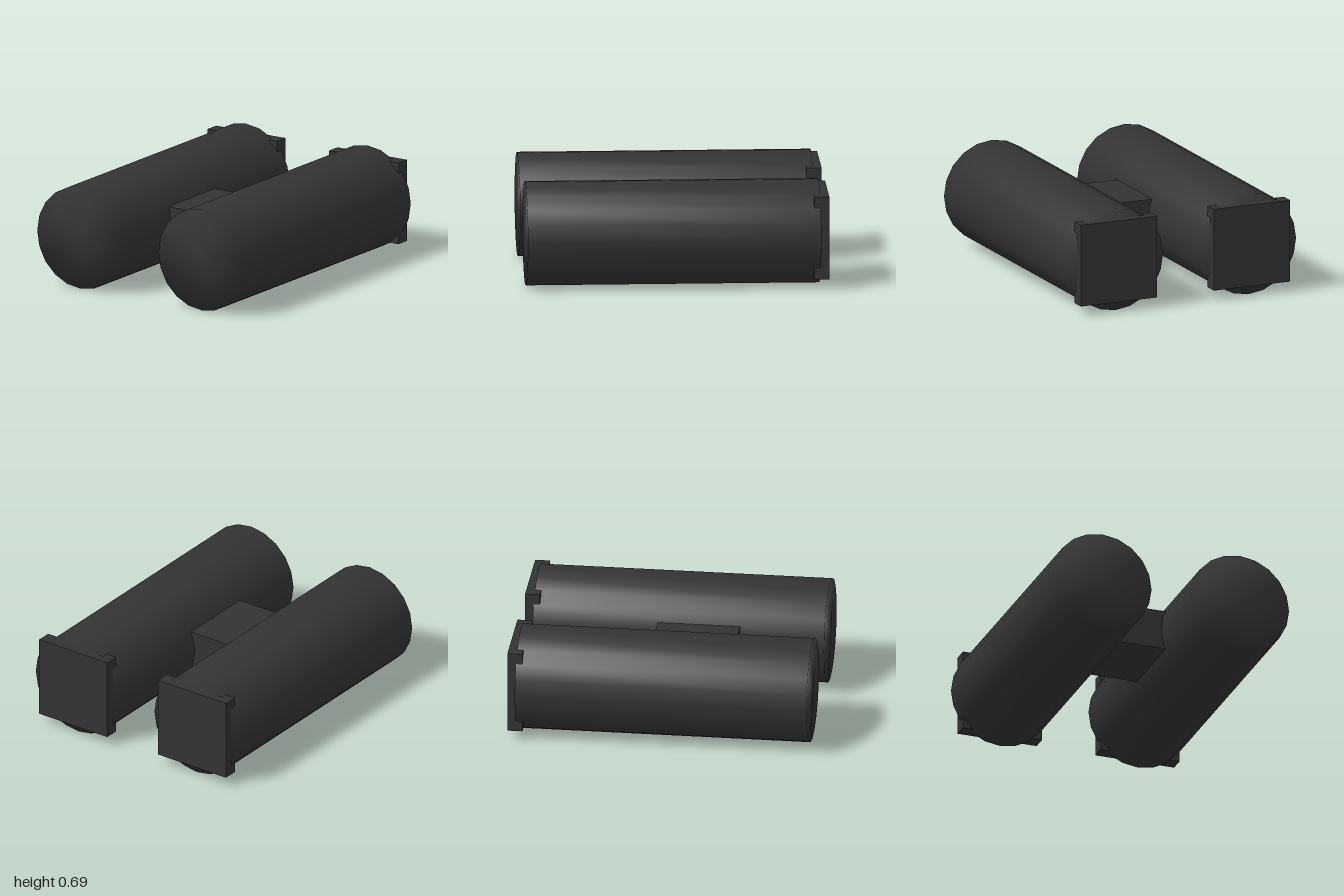
import * as THREE from 'three';
import { mergeVertices } from 'three/addons/utils/BufferGeometryUtils.js';

const RADIUS = 0.347;
const TUBE_X = 0.485;

// Closed 20-sided tube along z whose shading rolls softly over the rims
function softTube(radius, length) {
  const source = new THREE.CylinderGeometry(radius, radius, length, 20);
  source.rotateX(Math.PI / 2);
  source.deleteAttribute('uv');
  source.deleteAttribute('normal');
  const geometry = mergeVertices(source, 1e-4);
  geometry.computeVertexNormals();
  return geometry;
}

export function createModel() {
  const model = new THREE.Group();
  model.name = 'twinTubes';

  const charcoal = new THREE.MeshStandardMaterial({ color: 0x333333 });
  charcoal.name = 'charcoal';

  const add = (name, geometry, x, y, z) => {
    const mesh = new THREE.Mesh(geometry, charcoal);
    mesh.name = name;
    mesh.position.set(x, y, z);
    model.add(mesh);
  };

  // Mirrored tubes, each with a square plate behind it
  const tube = softTube(RADIUS, 1.943);
  const plate = new THREE.BoxGeometry(0.556, 0.556, 0.1);
  for (const [side, sign] of [['left', 1], ['right', -1]]) {
    add(side + 'Tube', tube, sign * TUBE_X, RADIUS, 0.0285);
    add(side + 'EyePlate', plate, sign * TUBE_X, RADIUS, -0.95);
  }

  // Block joining the tubes
  add('bridge', new THREE.BoxGeometry(0.6, 0.274, 0.55), 0, RADIUS, 0.164);

  return model;
}
